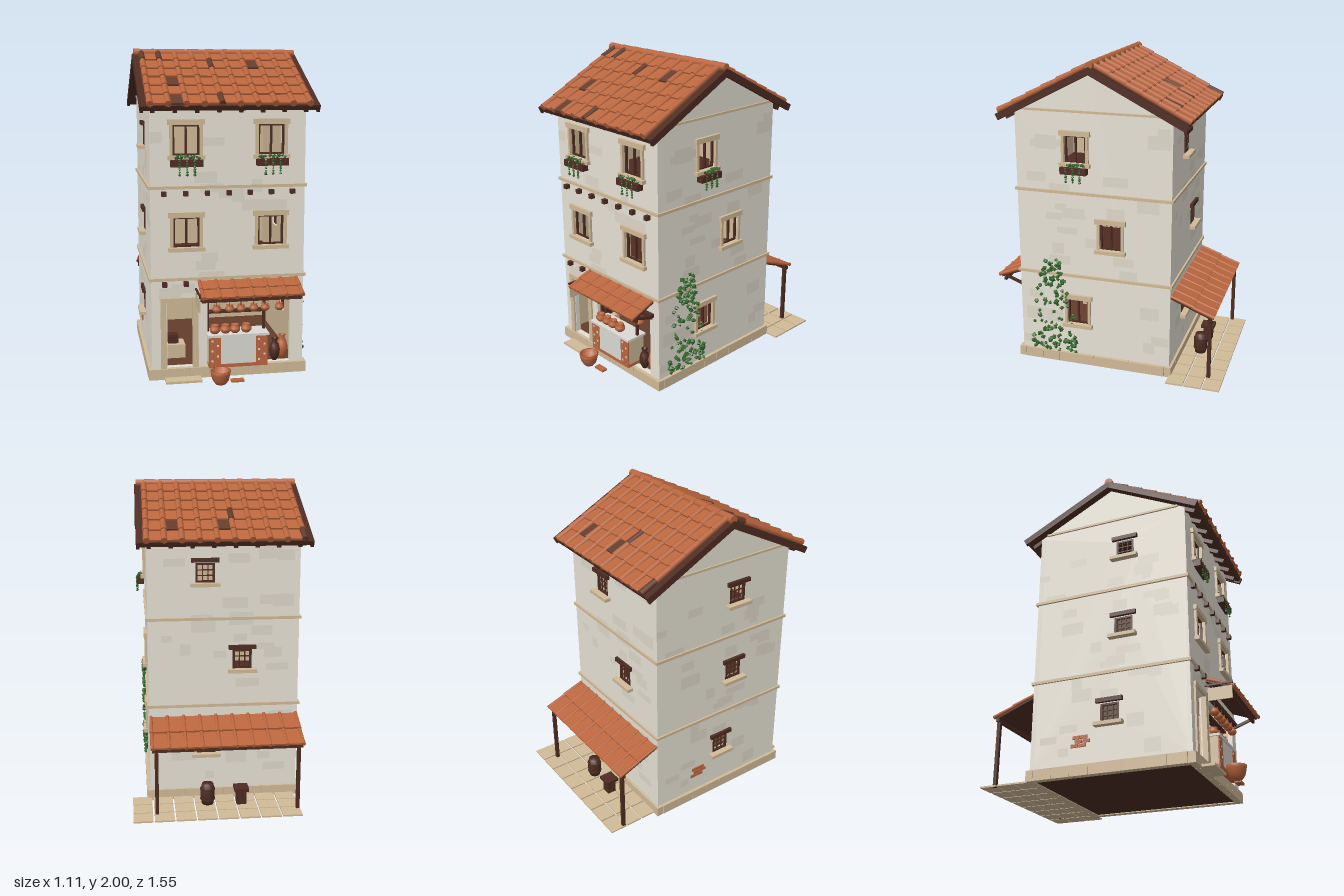
import * as THREE from 'three';

const mat = (name, color) => {
  const m = new THREE.MeshStandardMaterial({ color });
  m.name = name;
  return m;
};

export function createModel() {
  const plaster = mat('plaster', 0xe8e3d6), patch = mat('worn plaster', 0xded8ca), stone = mat('stone', 0xd1ba98);
  const wood = mat('dark wood', 0x4e2c22), clay = mat('terracotta', 0xba663e), burnt = mat('burnt tile', 0x633d2d);
  const leaf = mat('leaf', 0x386a30), grey = mat('limewash', 0xdcdad3), under = mat('underside', 0x4a2d25);
  const model = new THREE.Group();
  model.name = 'townhouse';
  let seed = 7;
  const rnd = () => (seed = (seed * 16807) % 2147483647) / 2147483647;

  const add = (p, name, geo, m, x = 0, y = 0, z = 0) => {
    const o = new THREE.Mesh(geo, m);
    o.name = name;
    o.position.set(x, y, z);
    p.add(o);
    return o;
  };
  const box = (p, name, m, w, h, d, x, y, z) => add(p, name, new THREE.BoxGeometry(w, h, d), m, x, y, z);
  // box given by its limits
  const span = (p, name, m, x0, x1, y0, y1, z0, z1) =>
    box(p, name, m, x1 - x0, y1 - y0, z1 - z0, (x0 + x1) / 2, (y0 + y1) / 2, (z0 + z1) / 2);
  const group = (p, name, x = 0, y = 0, z = 0, ry = 0) => {
    const g = new THREE.Group();
    g.name = name;
    g.position.set(x, y, z);
    g.rotation.set(0, ry, 0, 'YXZ');
    p.add(g);
    return g;
  };
  const pot = (p, name, m, profile, s, x, y, z) => add(p, name,
    new THREE.LatheGeometry(profile.map(([r, h]) => new THREE.Vector2(r * s, h * s)), 12), m, x, y, z);
  const BOWL = [[0, 0], [0.55, 0], [0.85, 0.4], [1, 0.95], [1.05, 1.25], [0.9, 1.25], [0.8, 0.8], [0, 0.5]];
  const ROUND = [[0, 0], [0.6, 0], [1, 0.45], [1, 0.9], [0.65, 1.3], [0.8, 1.55], [0.65, 1.55], [0, 1.2]];
  const JAR = [[0, 0], [0.4, 0], [0.85, 1], [1, 1.9], [0.75, 2.9], [0.4, 3.4], [0.6, 4], [0.4, 4], [0, 3.4]];
  const CASK = [[0, 0], [0.8, 0], [1, 1], [1, 2], [0.8, 3], [0, 3]];

  const X0 = -0.495, X1 = 0.445, Z0 = -0.43, Z1 = 0.58, T = 0.03;
  // each facade is built with local +z pointing outward
  const sides = {
    front: { g: group(model, 'frontFacade', 0, 0, Z1, 0), a: X0, b: X1 },
    right: { g: group(model, 'ivyFacade', X1, 0, 0, Math.PI / 2), a: -Z1, b: -Z0, apex: -0.075 },
    back: { g: group(model, 'backFacade', 0, 0, Z0, Math.PI), a: -X1, b: -X0 },
    left: { g: group(model, 'plainFacade', X0, 0, 0, -Math.PI / 2), a: Z0, b: Z1, apex: 0.075 },
  };
  const big = [[-0.28, 1.455, 1], [0.235, 1.455, 1], [-0.28, 0.905], [0.235, 0.905]];
  const bigSide = [[-0.185, 1.455, 1], [0.04, 0.905], [-0.185, 0.37]];
  const smallBack = [[-0.09, 1.46], [0.14, 0.915], [-0.085, 0.365]];
  const smallLeft = [[0.175, 1.46], [0.165, 0.915], [0.08, 0.365]];
  const rect = (w, h) => ([u, y]) => [u - w / 2, u + w / 2, y - h / 2, y + h / 2];
  sides.front.holes = [...big.map(rect(0.16, 0.18)), [-0.4, -0.235, 0.07, 0.48], [-0.155, 0.365, 0.07, 0.5]];
  sides.right.holes = bigSide.map(rect(0.14, 0.17));
  sides.back.holes = smallBack.map(rect(0.12, 0.12));
  sides.left.holes = smallLeft.map(rect(0.12, 0.12));

  // walls with openings, an inner lining and worn patches
  for (const { g, a, b, apex, holes } of Object.values(sides)) {
    const layer = (name, m, inset, depth, z) => {
      const pts = [[a + inset, 0.06], [b - inset, 0.06], [b - inset, 1.67]];
      if (apex !== undefined) pts.push([apex, 1.93]);
      pts.push([a + inset, 1.67]);
      const s = new THREE.Shape(pts.map(p => new THREE.Vector2(...p)));
      for (const [l, r, d, t] of holes)
        s.holes.push(new THREE.Path([[l, d], [l, t], [r, t], [r, d]].map(p => new THREE.Vector2(...p))));
      add(g, name, new THREE.ExtrudeGeometry(s, { depth, bevelEnabled: false }), m, 0, 0, z);
    };
    layer('wall', plaster, 0, T, -T);
    layer('lining', stone, T + 0.002, 0.006, -T - 0.006);
    for (let i = 0; i < 34; i++) {
      const w = 0.06 + rnd() * 0.1, h = 0.04 + rnd() * 0.05;
      const u = a + w / 2 + rnd() * (b - a - w), y = 0.12 + rnd() * 1.48;
      if (!holes.some(([l, r, d, t]) => u + w / 2 > l && u - w / 2 < r && y + h / 2 > d && y - h / 2 < t))
        add(g, 'wornPatch', new THREE.PlaneGeometry(w, h), patch, u, y, 0.0008 + i * 0.00002);
    }
    if (apex !== undefined) box(g, 'gableTrim', stone, 0.92, 0.014, 0.016, apex, 1.69, 0.002);
  }

  const leaves = (p, n, size, spot) => {
    for (let i = 0; i < n; i++) {
      const o = add(p, 'leaf', new THREE.OctahedronGeometry(size * (0.8 + rnd() * 0.5)), leaf, ...spot(i));
      o.rotation.set(rnd() * 3, rnd() * 3, rnd() * 3);
    }
  };
  // tall casement window in a stone surround, optionally with a planter
  const casement = (p, w, h) => ([u, y, planter]) => {
    const g = group(p, 'casementWindow', u, y, 0);
    for (const s of [-1, 1]) {
      box(g, 'jamb', stone, 0.018, h, 0.02, s * (w / 2 + 0.009), 0, 0.005);
      box(g, 'stile', wood, 0.012, h, 0.014, s * (w / 2 - 0.006), 0, -0.012);
      box(g, 'rail', wood, w, 0.01, 0.014, 0, s * (h / 2 - 0.005), -0.012);
    }
    box(g, 'mullion', wood, 0.012, h, 0.014, 0, 0, -0.012);
    box(g, 'lintel', stone, w + 0.06, 0.032, 0.03, 0, h / 2 + 0.016, 0.005);
    box(g, 'sill', stone, w + 0.06, 0.024, 0.045, 0, -h / 2 - 0.012, 0.008);
    if (!planter) return;
    box(g, 'planter', wood, w + 0.03, 0.042, 0.045, 0, -h / 2 - 0.043, 0.032);
    leaves(g, 18, 0.011, () => [(rnd() - 0.5) * w, -h / 2 - 0.016 + rnd() * 0.016, 0.025 + rnd() * 0.02]);
    // three trailing stems
    leaves(g, 18, 0.009, i => [(i % 3 - 1) * 0.045, -h / 2 - 0.03 - Math.floor(i / 3) * 0.016, 0.053]);
  };
  big.forEach(casement(sides.front.g, 0.16, 0.18));
  bigSide.forEach(casement(sides.right.g, 0.14, 0.17));
  // small barred windows
  const barred = p => ([u, y]) => {
    const g = group(p, 'barredWindow', u, y, 0);
    box(g, 'lintel', wood, 0.17, 0.026, 0.035, 0, 0.078, 0.002);
    box(g, 'sill', stone, 0.18, 0.022, 0.06, 0, -0.071, 0.01);
    for (const s of [-1, 1]) {
      box(g, 'stile', wood, 0.014, 0.12, 0.015, s * 0.053, 0, -0.008);
      box(g, 'rail', wood, 0.12, 0.012, 0.015, 0, s * 0.054, -0.008);
      box(g, 'bar', wood, 0.006, 0.12, 0.008, s * 0.017, 0, -0.008);
      box(g, 'crossBar', wood, 0.12, 0.006, 0.008, 0, s * 0.017, -0.008);
    }
  };
  smallBack.forEach(barred(sides.back.g));
  smallLeft.forEach(barred(sides.left.g));

  // storeys: string courses, floors, footing stones
  for (const y of [0.62, 1.175]) {
    span(model, 'stringCourse', stone, X0 - 0.012, X1 + 0.012, y - 0.009, y + 0.009, Z0 - 0.012, Z1 + 0.012);
    span(model, 'floor', wood, X0 + 0.04, X1 - 0.04, y + 0.009, y + 0.016, Z0 + 0.04, Z1 - 0.04);
  }
  span(model, 'underside', under, X0 + 0.01, X1 - 0.01, 0.006, 0.062, Z0 + 0.01, Z1 - 0.01);
  span(model, 'groundFloor', burnt, X0 + 0.02, X1 - 0.02, 0.062, 0.069, Z0 + 0.02, Z1 - 0.02);
  for (let i = 0; i < 8; i++) for (const s of [-1, 1]) {
    box(model, 'footingStone', stone, 0.121, 0.066, 0.045, -0.025 + (i - 3.5) * 0.1225, 0.033, s > 0 ? 0.5785 : -0.4235);
    box(model, 'footingStone', stone, 0.045, 0.066, 0.1175, s > 0 ? 0.4435 : -0.4935, 0.033, 0.0775 + (i - 3.5) * 0.119);
  }
  for (let i = 0; i < 7; i++) box(model, 'joistEnd', wood, 0.028, 0.028, 0.04, -0.415 + i * 0.13, 1.14, Z1 + 0.01);
  for (const x of [-0.415, -0.285]) box(model, 'joistEnd', wood, 0.028, 0.028, 0.04, x, 0.592, Z1 + 0.01);

  // sloping bed of pan and cover tiles, local +z runs downhill
  const tiles = (name, x0, x1, y, z, dir, angle, rows, len, cols, radius, dark = []) => {
    const g = group(model, name, 0, y, z, dir > 0 ? 0 : Math.PI);
    g.rotation.x = angle;
    const step = (x1 - x0) / cols;
    for (let r = 0; r < rows; r++) for (let c = 0; c <= cols; c++) {
      const m = k => dark.includes(k + c + '.' + r) ? burnt : clay, s = (r + 0.5) * len + 0.006, x = x0 + c * step;
      const cover = add(g, 'coverTile', new THREE.CylinderGeometry(radius, radius * 0.85, len * 1.08, 8), m('c'), dir * x, 0.012, s);
      cover.rotation.x = Math.PI / 2 - 0.03;
      if (c < cols) box(g, 'panTile', m('p'), step - 0.004, 0.012, len * 1.08, dir * (x + step / 2), 0.009, s).rotation.x = -0.09;
    }
    return g;
  };
  const darkTiles = { '1': ['c0.0', 'c1.0', 'c4.1', 'c4.5', 'p6.1', 'p1.3', 'p1.5'], '-1': ['c0.5', 'c4.3', 'p4.4', 'p7.4'] };
  for (const dir of [1, -1]) {
    const g = tiles('roofSlope', -0.498, 0.444, 1.968, 0.075, dir, 0.474, 6, 0.112, 9, 0.021, darkTiles[dir]);
    box(g, 'roofDeck', wood, 1.02, 0.03, 0.68, dir * -0.025, -0.016, 0.34);
    for (const x of [-0.545, 0.495]) box(g, 'bargeBoard', wood, 0.02, 0.042, 0.685, dir * x, -0.021, 0.3425);
    for (let i = 0; i < 8; i++) box(g, 'rafterTail', wood, 0.025, 0.03, 0.12, dir * (-0.48 + i * 0.13), -0.042, 0.6);
  }
  for (let i = 0; i < 9; i++) add(model, 'ridgeTile', new THREE.CylinderGeometry(0.027, 0.024, 0.122, 10), clay,
    -0.025 + (i - 4) * 0.115, 1.973, 0.075).rotation.z = Math.PI / 2;

  // rear lean-to and paved yard
  const lean = tiles('rearLeanTo', -0.484, 0.434, 0.545, -0.425, -1, 0.385, 2, 0.145, 9, 0.012);
  box(lean, 'leanToDeck', wood, 0.92, 0.008, 0.28, 0.025, -0.004, 0.145);
  for (const x of [-0.46, 0.41]) box(model, 'yardPost', wood, 0.022, 0.42, 0.022, x, 0.215, -0.68);
  box(model, 'yardBeam', wood, 0.92, 0.02, 0.022, -0.025, 0.425, -0.68);
  for (let i = 0; i < 8; i++) for (let j = 0; j < 3; j++)
    box(model, 'pavingSlab', stone, 0.121, 0.01, 0.109, -0.414 + i * 0.13, 0.011, -0.722 + j * 0.117);
  pot(model, 'cask', wood, CASK, 0.045, 0.09, 0.015, -0.56);
  for (const y of [0.05, 0.115]) add(model, 'caskHoop', new THREE.CylinderGeometry(0.047, 0.047, 0.01, 12), under, 0.09, y, -0.56);
  box(model, 'stoolBase', wood, 0.06, 0.09, 0.06, -0.12, 0.06, -0.57);
  box(model, 'stoolTop', wood, 0.09, 0.02, 0.09, -0.12, 0.115, -0.57);
  for (const [u, y] of [[-0.14, 0.185], [-0.09, 0.185], [-0.115, 0.21], [-0.065, 0.21], [-0.13, 0.235], [-0.08, 0.235]])
    box(sides.left.g, 'bareBrick', clay, 0.046, 0.02, 0.008, u, y, 0.003);

  // doorway and step
  for (const x of [-0.42, -0.225]) span(model, 'doorJamb', stone, x - 0.02, x + 0.015, 0.066, 0.48, Z1 - 0.02, Z1 + 0.012);
  span(model, 'doorLintel', stone, -0.44, -0.21, 0.48, 0.505, Z1 - 0.02, Z1 + 0.014);
  span(model, 'doorStep', stone, -0.42, -0.2, 0, 0.014, 0.6, 0.68);
  span(model, 'innerBench', stone, -0.39, -0.27, 0.069, 0.155, 0.3, 0.42);
  span(model, 'crate', wood, -0.375, -0.31, 0.155, 0.21, 0.33, 0.39);

  // market counter with tiled piers
  const stall = group(model, 'stall');
  span(stall, 'counter', stone, -0.15, 0.21, 0.08, 0.26, 0.5, 0.628);
  span(stall, 'counterPanel', grey, -0.078, 0.138, 0.09, 0.258, 0.626, 0.632);
  span(stall, 'counterTop', grey, -0.16, 0.22, 0.26, 0.275, 0.49, 0.64);
  span(stall, 'counterPlinth', clay, -0.152, 0.212, 0.069, 0.09, 0.498, 0.635);
  for (const x of [-0.115, 0.175]) {
    span(stall, 'counterPier', clay, x - 0.036, x + 0.036, 0.09, 0.258, 0.626, 0.634);
    for (let i = 0; i < 5; i++) box(stall, 'inlay', grey, 0.012, 0.012, 0.004, x + (i % 2 - 0.5) * 0.035, 0.11 + i * 0.032, 0.634);
  }
  [-0.11, -0.045, 0.015, 0.085].forEach(x => pot(stall, 'counterBowl', clay, ROUND, 0.033, x, 0.275, 0.59));
  for (const x of [-0.15, 0.205]) span(stall, 'rackPost', wood, x - 0.008, x + 0.008, 0.275, 0.5, 0.54, 0.556);
  span(stall, 'rackShelf', wood, -0.155, 0.21, 0.395, 0.407, 0.53, 0.58);
  [-0.1, -0.02, 0.05, 0.13, 0.2, 0.29].forEach(x => {
    pot(stall, 'hangingPot', clay, ROUND, 0.028, x, 0.408, 0.6);
    box(stall, 'potCord', wood, 0.004, 0.06, 0.004, x, 0.47, 0.6);
  });
  pot(stall, 'darkJar', wood, JAR, 0.035, 0.275, 0.069, 0.55);
  pot(stall, 'clayJar', clay, JAR, 0.038, 0.33, 0.069, 0.52);
  pot(model, 'streetBowl', clay, BOWL, 0.06, -0.095, 0, 0.714).scale.y = 1.1;
  box(model, 'fallenTile', clay, 0.08, 0.012, 0.04, 0.01, 0.008, 0.7);

  // stall awning with brackets, and the hanging board beside it
  const awning = tiles('stallAwning', -0.205, 0.395, 0.598, Z1, 1, 0.375, 2, 0.09, 6, 0.013);
  box(awning, 'awningDeck', wood, 0.61, 0.008, 0.17, 0.095, -0.004, 0.09);
  span(model, 'awningBeam', wood, -0.21, 0.4, 0.49, 0.515, Z1, Z1 + 0.03);
  span(model, 'awningEdge', wood, -0.21, 0.4, 0.505, 0.525, 0.71, 0.726);
  for (const x of [-0.19, 0.38])
    box(model, 'awningBrace', wood, 0.016, 0.016, 0.15, x, 0.505, 0.65).rotation.x = -0.35;
  span(model, 'boardArm', wood, -0.23, -0.22, 0.55, 0.562, Z1, 0.755);
  span(model, 'blankBoard', stone, -0.229, -0.221, 0.455, 0.535, 0.6, 0.75);
  for (const z of [0.63, 0.73]) box(model, 'boardHook', wood, 0.004, 0.03, 0.004, -0.225, 0.543, z);

  // climbing ivy, narrowing upward
  const ivy = group(sides.right.g, 'ivy');
  leaves(ivy, 150, 0.015, () => {
    const t = Math.pow(rnd(), 1.2);
    return [-0.35 + (rnd() - 0.5) * 0.32 * (1 - 0.65 * t * t), 0.08 + t * 0.64, 0.008 + rnd() * 0.014];
  });
  return model;
}
